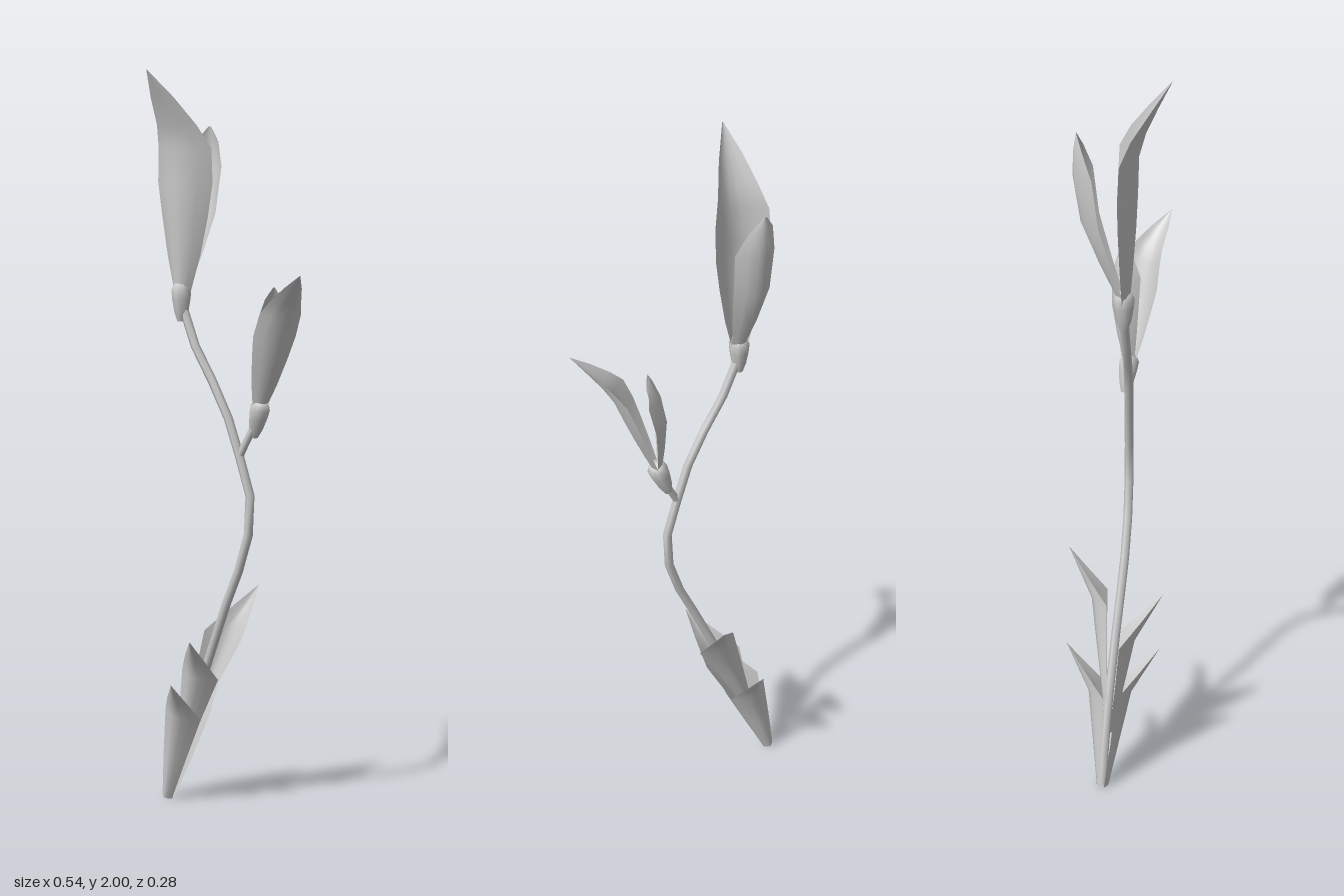
import * as THREE from 'three';

const mat = new THREE.MeshStandardMaterial({ color: 0xcccccc, side: THREE.DoubleSide });
const V = (x, y, z) => new THREE.Vector3(x, y, z);

function mesh(name, geometry) {
  const m = new THREE.Mesh(geometry, mat);
  m.name = name;
  return m;
}

// Cupped blade: each row is [x, y, z, halfWidth, cup]; out is +1 (front) or -1 (back).
// fold = 2 gives a rounded cup, fold = 1 a V-shaped crease; skew drops the +x edge.
function blade(name, rows, out, fold, skew = 0) {
  const cols = 6, pos = [], idx = [];
  rows.forEach(([x, y, z, w, cup], r) => {
    for (let c = 0; c <= cols; c++) {
      const u = (c / cols) * 2 - 1;
      pos.push(x + w * u, y - w * u * skew, z - out * cup * Math.abs(u) ** fold);
      if (r && c) {
        const d = r * (cols + 1) + c, b = d - cols - 1;
        if (out > 0) idx.push(b - 1, b, d, b - 1, d, d - 1);
        else idx.push(b - 1, d, b, b - 1, d - 1, d);
      }
    }
  });
  const g = new THREE.BufferGeometry();
  g.setAttribute('position', new THREE.Float32BufferAttribute(pos, 3));
  g.setIndex(idx);
  g.computeVertexNormals();
  return mesh(name, g);
}

// Leaf from base through its widest point, bending outward to the tip
function leaf(name, base, wide, tip, out) {
  const a = base.clone().lerp(wide, 0.5), b = wide.clone().lerp(tip, 0.5);
  return blade(name, [
    [...base, 0.016, 0.012],
    [...a, 0.037, 0.025],
    [...wide, 0.058, 0.042],
    [...b, 0.031, 0.02],
    [...tip, 0.0005, 0],
  ], out, 1.4, 0.15);
}

function stem(name, points, segments, radius) {
  const curve = new THREE.CatmullRomCurve3(points, false, 'centripetal');
  return mesh(name, new THREE.TubeGeometry(curve, segments, radius, 6));
}

// Bloom with a cup-shaped base, one long front petal and one short back petal
function flower(name, petalScale) {
  const g = new THREE.Group();
  g.name = name;
  const profile = [[0.011, -0.075], [0.019, -0.05], [0.025, -0.015], [0.027, 0.01], [0.018, 0.026], [0, 0.03]];
  g.add(mesh('calyx', new THREE.LatheGeometry(profile.map(p => new THREE.Vector2(...p)), 8)));
  const petals = new THREE.Group();
  petals.name = 'petals';
  petals.scale.setScalar(petalScale);
  petals.add(blade('longPetal', [
    [0, 0, 0.015, 0.025, 0.02],
    [0.002, 0.1, 0.023, 0.052, 0.033],
    [0.003, 0.2, 0.03, 0.072, 0.044],
    [0.003, 0.29, 0.034, 0.086, 0.05],
    [0.005, 0.38, 0.036, 0.083, 0.048],
    [-0.002, 0.44, 0.052, 0.062, 0.036],
    [-0.014, 0.51, 0.082, 0.036, 0.018],
    [-0.027, 0.58, 0.115, 0.001, 0],
  ], 1, 2));
  petals.add(blade('shortPetal', [
    [0, 0, -0.012, 0.02, 0.015],
    [0.006, 0.1, -0.06, 0.04, 0.03],
    [0.012, 0.21, -0.106, 0.056, 0.044],
    [0.017, 0.33, -0.125, 0.06, 0.048],
    [0.017, 0.395, -0.122, 0.036, 0.022],
    [0.016, 0.435, -0.115, 0.004, 0],
  ], -1, 2));
  g.add(petals);
  return g;
}

export function createModel() {
  const model = new THREE.Group();
  model.name = 'floweringStem';

  // Main stem and side branch
  model.add(stem('mainStem', [
    V(-0.268, 0.003, -0.042), V(-0.21, 0.18, -0.03), V(-0.13, 0.37, -0.01), V(-0.03, 0.61, 0.018),
    V(0.025, 0.74, 0.026), V(0.048, 0.87, 0.027), V(0.012, 1.0, 0.027), V(-0.042, 1.14, 0.026),
    V(-0.125, 1.27, 0.02), V(-0.172, 1.38, 0.014),
  ], 14, 0.012));
  model.add(stem('sideBranch', [V(0.012, 1.0, 0.027), V(0.035, 1.045, 0.027), V(0.06, 1.09, 0.026)], 3, 0.01));

  // Two pairs of leaves around the foot
  model.add(
    leaf('lowerFrontLeaf', V(-0.268, 0, -0.025), V(-0.192, 0.26, 0.037), V(-0.15, 0.375, 0.115), 1),
    leaf('lowerBackLeaf', V(-0.266, 0, -0.057), V(-0.188, 0.26, -0.08), V(-0.145, 0.385, -0.14), -1),
    leaf('upperFrontLeaf', V(-0.21, 0.14, -0.012), V(-0.13, 0.385, 0.045), V(-0.085, 0.505, 0.122), 1),
    leaf('upperBackLeaf', V(-0.19, 0.22, -0.04), V(-0.08, 0.49, -0.073), V(-0.027, 0.62, -0.135), -1),
  );

  // Upper bloom
  const upper = flower('upperFlower', 1);
  upper.position.set(-0.178, 1.42, 0.015);
  model.add(upper);

  // Smaller bloom turned and leaning to the side
  const side = flower('sideFlower', 0.72);
  side.position.set(0.072, 1.125, 0.025);
  side.rotation.set(0.13, 1.05, -0.32, 'ZXY');
  model.add(side);

  return model;
}
